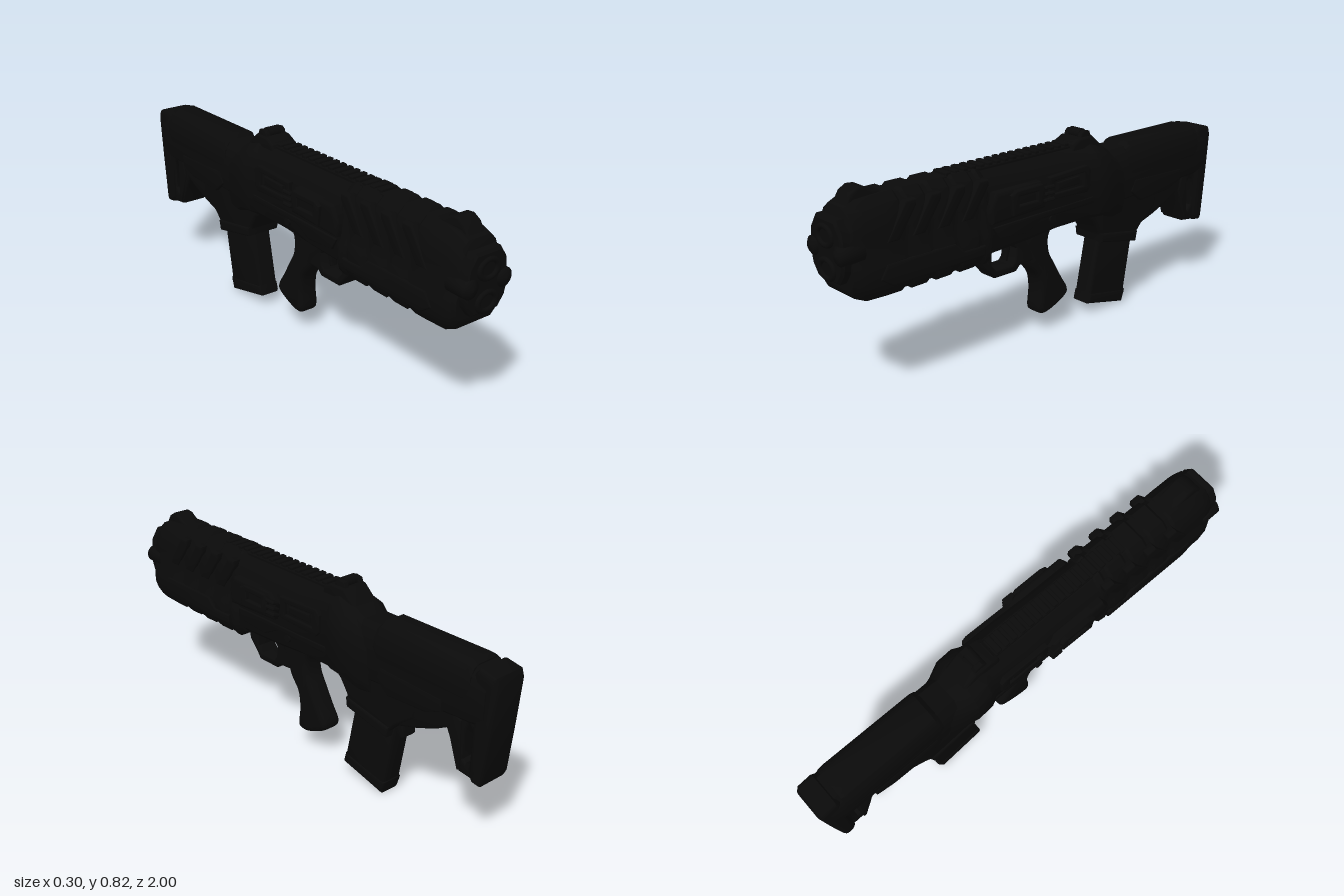
import * as THREE from 'three';
import { toCreasedNormals } from 'three/addons/utils/BufferGeometryUtils.js';
import { RoundedBoxGeometry } from 'three/addons/geometries/RoundedBoxGeometry.js';

const black = new THREE.MeshStandardMaterial({ color: 0x0a0a0a });

export function createModel() {
  const model = new THREE.Group();

  function add(name, geometry, x = 0, y = 0, z = 0) {
    const mesh = new THREE.Mesh(geometry, black);
    mesh.name = name;
    mesh.position.set(x, y, z);
    model.add(mesh);
    return mesh;
  }

  // Side profile given as [z, y], extruded across x around the centre plane.
  function plate(name, points, halfWidth, bevel = 0.01, x = 0, holes = []) {
    const toVectors = (list) => list.map(([z, y]) => new THREE.Vector2(z, y));
    const shape = new THREE.Shape(toVectors(points));
    shape.holes = holes.map((h) => new THREE.Path(toVectors(h)));
    const depth = 2 * (halfWidth - bevel);
    const geo = new THREE.ExtrudeGeometry(shape, {
      depth, bevelEnabled: bevel > 0, bevelSize: bevel, bevelOffset: -bevel,
      bevelThickness: bevel, bevelSegments: 3, curveSegments: 8,
    });
    geo.translate(0, 0, -depth / 2).rotateY(-Math.PI / 2);
    return add(name, toCreasedNormals(geo, 0.7), x);
  }

  // Closed smooth outline through a few [z, y] points.
  const smooth = (points, n = 40) => new THREE.CatmullRomCurve3(
    points.map(([z, y]) => new THREE.Vector3(z, y, 0)), true, 'centripetal',
  ).getPoints(n).slice(0, -1).map((p) => [p.x, p.y]);

  // Half section [x, t] (t from bottom 0 to top 1) swept over stations [z, widthScale, yBottom, yTop].
  function loft(name, half, stations) {
    const ring = [...half, ...half.slice().reverse().map(([x, t]) => [-x, t])];
    const n = ring.length;
    const pos = [], idx = [];
    for (const [z, s, y0, y1] of stations) {
      for (const [x, t] of ring) pos.push(x * s, y0 + t * (y1 - y0), z);
    }
    for (let i = 0; i < stations.length - 1; i++) {
      for (let j = 0; j < n; j++) {
        const a = i * n + j, b = i * n + (j + 1) % n;
        idx.push(a, a + n, b, b, a + n, b + n);
      }
    }
    const last = (stations.length - 1) * n;
    for (let j = 1; j < n - 1; j++) {
      idx.push(0, j, j + 1, last, last + j + 1, last + j);
    }
    const geo = new THREE.BufferGeometry();
    geo.setAttribute('position', new THREE.Float32BufferAttribute(pos, 3));
    geo.setIndex(idx);
    return add(name, toCreasedNormals(geo, 0.6), 0);
  }

  // Handguard: chunky shroud with a wider lower half and shallow grooves.
  const shroud = [[0.085, 0], [0.108, 0.07], [0.118, 0.16], [0.118, 0.36], [0.106, 0.43],
    [0.106, 0.66], [0.1, 0.78], [0.082, 0.92], [0.05, 1]];
  const guard = [[0.95, 0.88, 0.46, 0.72], [0.935, 0.95, 0.435, 0.75], [0.89, 1, 0.415, 0.77],
    [0.8, 1, 0.412, 0.775]];
  for (let z = 0.74; z > 0.4; z -= 0.11) {
    guard.push([z, 0.99, 0.412, 0.775], [z - 0.012, 0.94, 0.42, 0.765],
      [z - 0.03, 0.94, 0.42, 0.765], [z - 0.042, 0.98, 0.41, 0.775]);
  }
  guard.push([0.345, 0.96, 0.41, 0.765], [0.33, 0.88, 0.43, 0.75]);
  loft('handguard', shroud, guard);

  // Muzzle face with two stacked bores and two side lugs.
  loft('muzzlePlate', [[0.06, 0], [0.09, 0.18], [0.1, 0.4], [0.09, 0.8], [0.06, 1]],
    [[0.985, 0.92, 0.5, 0.71], [0.975, 1, 0.49, 0.72], [0.93, 1, 0.49, 0.72]]);
  for (const y of [0.655, 0.535]) {
    const ring = add('boreRing', new THREE.TorusGeometry(0.034, 0.01, 10, 28), 0, y, 0.985);
    ring.scale.x = 1.25;
  }
  for (const s of [-1, 1]) {
    const profile = [[0, 0.04], [0.02, 0.036], [0.036, 0.025], [0.036, -0.06], [0, -0.06]]
      .reverse().map(([r, y]) => new THREE.Vector2(r, y));
    const lug = add('muzzleLug', new THREE.LatheGeometry(profile, 20), s * 0.079, 0.6, 0.96);
    lug.rotation.x = Math.PI / 2;
  }

  // Receiver, from trigger area back to the stock.
  const receiver = [[0.06, 0], [0.085, 0.07], [0.098, 0.25], [0.102, 0.5], [0.1, 0.72], [0.08, 0.9], [0.045, 1]];
  loft('receiver', receiver, [[0.36, 1, 0.43, 0.76], [0.12, 1, 0.44, 0.76], [-0.04, 1.05, 0.455, 0.76],
    [-0.2, 1.05, 0.455, 0.76], [-0.23, 1.2, 0.455, 0.765], [-0.3, 1.22, 0.45, 0.745],
    [-0.36, 1, 0.42, 0.71], [-0.42, 0.85, 0.42, 0.7]]);

  // Top rail with cross teeth.
  add('railBase', new RoundedBoxGeometry(0.08, 0.03, 0.72, 2, 0.006), 0, 0.757, 0.16);
  for (let i = 0; i < 17; i++) {
    add('railTooth', new RoundedBoxGeometry(0.076, 0.022, 0.025, 2, 0.005), 0, 0.772, -0.16 + i * 0.04);
  }
  plate('frontSight', [[0.93, 0.74], [0.9, 0.79], [0.87, 0.808], [0.84, 0.805], [0.81, 0.785], [0.77, 0.775], [0.76, 0.74]], 0.042, 0.01);
  plate('rearSightBase', [[-0.13, 0.74], [-0.14, 0.775], [-0.18, 0.795], [-0.25, 0.795], [-0.3, 0.75], [-0.34, 0.7], [-0.2, 0.7]], 0.058, 0.01);
  for (const s of [-1, 1]) {
    plate('rearSightEar', [[-0.18, 0.76], [-0.195, 0.81], [-0.21, 0.82], [-0.24, 0.815], [-0.26, 0.77]], 0.011, 0.004, s * 0.037);
  }
  const post = add('rearSightDrum', new THREE.CylinderGeometry(0.022, 0.022, 0.06, 20), 0, 0.803, -0.215);
  post.rotation.z = Math.PI / 2;

  // Mirrored details on both flanks.
  for (const s of [-1, 1]) {
    for (let i = 0; i < 4; i++) {
      const z = 0.81 - i * 0.11;
      plate('slantedRib', [[z, 0.61], [z - 0.055, 0.61], [z - 0.13, 0.72], [z - 0.13, 0.745], [z - 0.085, 0.745]], 0.022, 0.008, s * 0.088);
    }
    plate('lowerGuardPanel', [[0.85, 0.49], [0.82, 0.54], [0.52, 0.54], [0.48, 0.5], [0.38, 0.5], [0.38, 0.46], [0.8, 0.455]], 0.014, 0.006, s * 0.109);
    plate('sidePod', [[0.35, 0.57], [0.36, 0.63], [0.33, 0.69], [0.1, 0.69], [0.06, 0.65], [0.08, 0.58]], 0.025, 0.015, s * 0.105);
    plate('podFrame', [[0.26, 0.59], [0.27, 0.67], [0.24, 0.685], [0.11, 0.685], [0.095, 0.66], [0.11, 0.6]], 0.014, 0.006, s * 0.131,
      [[[0.23, 0.625], [0.23, 0.66], [0.135, 0.66], [0.135, 0.625]]]);
    for (let i = 0; i < 3; i++) {
      const fin = add('podFin', new RoundedBoxGeometry(0.035, 0.014, 0.05, 2, 0.005), s * 0.133, 0.612 + i * 0.025, 0.075);
      fin.rotation.z = s * 0.35;
    }
    plate('portFrame', [[0.05, 0.6], [0.05, 0.69], [-0.16, 0.7], [-0.18, 0.68], [-0.18, 0.61], [-0.16, 0.59]], 0.012, 0.005, s * 0.106,
      [[[0.02, 0.62], [0.02, 0.67], [-0.14, 0.675], [-0.14, 0.62]]]);
    plate('portCover', [[0, 0.63], [0, 0.66], [-0.12, 0.665], [-0.12, 0.63]], 0.01, 0.004, s * 0.103);
    plate('receiverStripe', [[0.33, 0.55], [0.3, 0.5], [0.16, 0.49], [0.08, 0.53], [-0.24, 0.53], [-0.26, 0.56]], 0.012, 0.005, s * 0.096);
    const pin = add('receiverPin', new THREE.CylinderGeometry(0.016, 0.016, 0.012, 16), s * 0.101, 0.515, 0.02);
    pin.rotation.z = Math.PI / 2;
  }

  // Trigger guard, trigger and pistol grip.
  plate('triggerGuard', [[0.35, 0.47], [0.335, 0.39], [0.285, 0.335], [0.27, 0.315], [0.16, 0.315], [0.14, 0.335], [0.07, 0.34], [0.07, 0.47]],
    0.045, 0.007, 0, [[[0.285, 0.37], [0.285, 0.42], [0.26, 0.435], [0.18, 0.435], [0.155, 0.41], [0.165, 0.36], [0.18, 0.345], [0.262, 0.345]]]);
  plate('trigger', [[0.2, 0.45], [0.185, 0.4], [0.19, 0.36], [0.178, 0.355], [0.165, 0.4], [0.16, 0.45]], 0.015, 0.004);
  plate('grip', smooth([[0.14, 0.46], [0.1, 0.37], [0.075, 0.31], [0.035, 0.255], [0.025, 0.19], [0.03, 0.1], [0.005, 0.085],
    [-0.06, 0.1], [-0.13, 0.14], [-0.133, 0.165], [-0.1, 0.22], [-0.06, 0.29], [-0.028, 0.35], [-0.025, 0.42], [-0.06, 0.48]], 60), 0.046, 0.022);

  // Magazine well with rear release lip, and the magazine.
  plate('magazineWell', [[-0.2, 0.47], [-0.25, 0.43], [-0.285, 0.38], [-0.3, 0.335], [-0.5, 0.295], [-0.55, 0.35], [-0.64, 0.42], [-0.64, 0.56], [-0.2, 0.56]], 0.07, 0.012);
  plate('magazineCollar', [[-0.29, 0.37], [-0.295, 0.33], [-0.51, 0.285], [-0.52, 0.33]], 0.078, 0.008);
  plate('magazineRelease', [[-0.49, 0.35], [-0.52, 0.3], [-0.548, 0.28], [-0.557, 0.29], [-0.55, 0.36]], 0.035, 0.006);
  plate('magazine', [[-0.315, 0.36], [-0.26, 0.09], [-0.475, 0.04], [-0.525, 0.32]], 0.045, 0.014);
  plate('magazineFloor', [[-0.262, 0.1], [-0.25, 0.055], [-0.455, 0.008], [-0.465, 0.005], [-0.483, 0.06]], 0.048, 0.012);

  // Stock: rounded upper tube, cheek rest, open lower frame and butt pad.
  const tube = [[0.055, 0], [0.08, 0.1], [0.088, 0.3], [0.088, 0.65], [0.076, 0.88], [0.05, 1]];
  loft('stockTube', tube, [[-0.33, 0.95, 0.47, 0.705], [-0.37, 1, 0.47, 0.715], [-0.9, 1, 0.5, 0.72], [-0.96, 0.93, 0.51, 0.715]]);
  loft('cheekRest', [[0.088, 0], [0.092, 0.2], [0.086, 0.6], [0.07, 0.88], [0.045, 1]],
    [[-0.44, 0.95, 0.62, 0.715], [-0.46, 1, 0.6, 0.735], [-0.87, 1, 0.6, 0.735], [-0.895, 0.96, 0.62, 0.725]]);
  plate('stockFrame', [[-0.5, 0.58], [-0.5, 0.4], [-0.56, 0.35], [-0.64, 0.375], [-0.73, 0.41], [-0.785, 0.44], [-0.81, 0.39], [-0.85, 0.295], [-0.93, 0.285], [-0.97, 0.6], [-0.9, 0.62]],
    0.062, 0.012, 0, [[[-0.865, 0.35], [-0.87, 0.47], [-0.885, 0.5], [-0.9, 0.48], [-0.9, 0.36], [-0.88, 0.34]]]);
  plate('buttPad', [[-0.9, 0.7], [-0.91, 0.52], [-0.905, 0.31], [-0.92, 0.285], [-0.955, 0.28], [-0.965, 0.3], [-0.985, 0.5], [-1, 0.68], [-0.99, 0.712], [-0.92, 0.725]], 0.078, 0.02);
  for (const s of [-1, 1]) {
    plate('stockSidePanel', [[-0.46, 0.52], [-0.52, 0.47], [-0.7, 0.48], [-0.78, 0.51], [-0.78, 0.56], [-0.48, 0.57]], 0.012, 0.006, s * 0.078);
    plate('toePanel', [[-0.8, 0.45], [-0.85, 0.305], [-0.862, 0.31], [-0.855, 0.5], [-0.82, 0.52]], 0.01, 0.004, s * 0.06);
  }
  return model;
}
